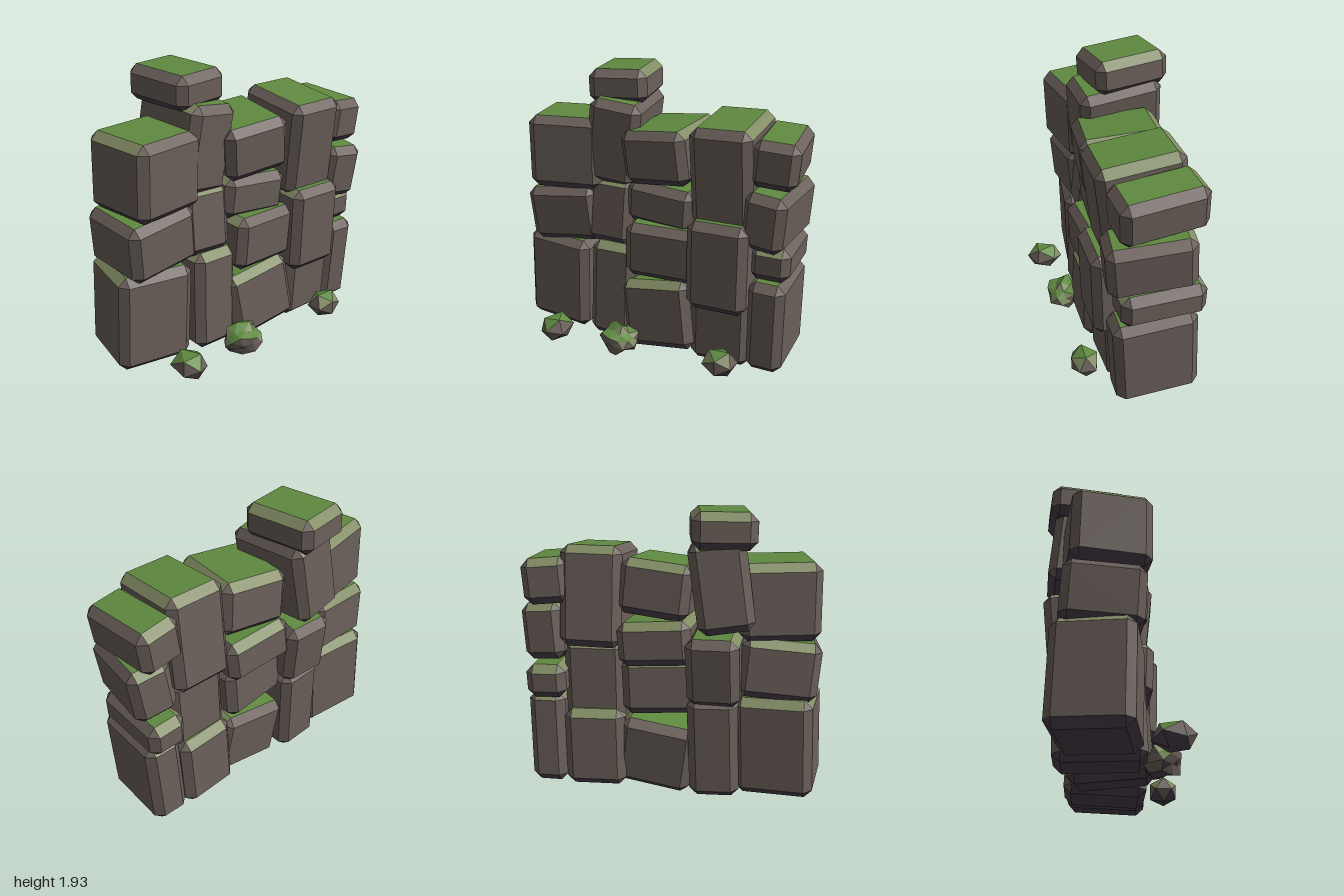
import * as THREE from 'three';
import { ConvexGeometry } from 'three/addons/geometries/ConvexGeometry.js';

const BEVEL = 0.052;

function material(name, color) {
  const m = new THREE.MeshStandardMaterial({ color });
  m.name = name;
  return m;
}

// Sorts triangles into underside, stone, mossy edge and moss by how far they face up
function mossGeometry(source, mossLimit, edgeLimit) {
  const p = source.getAttribute('position');
  const buckets = [[], [], [], []];
  const tri = new THREE.Triangle(), n = new THREE.Vector3();
  for (let i = 0; i < p.count; i += 3) {
    tri.setFromAttributeAndIndices(p, i, i + 1, i + 2);
    tri.getNormal(n);
    const k = n.y > mossLimit ? 3 : n.y > edgeLimit ? 2 : n.y > -0.54 ? 1 : 0;
    for (const v of [tri.a, tri.b, tri.c]) buckets[k].push(v.x, v.y, v.z);
  }
  const geo = new THREE.BufferGeometry();
  geo.setAttribute('position', new THREE.Float32BufferAttribute(buckets.flat(), 3));
  let start = 0;
  buckets.forEach((b, k) => {
    if (b.length) geo.addGroup(start, b.length / 3, k);
    start += b.length / 3;
  });
  geo.computeVertexNormals();
  return geo;
}

// Chamfered block, turned before its faces are sorted
function blockGeometry(w, h, d, tilt, yaw, roll) {
  const turn = new THREE.Euler(tilt, yaw, roll);
  const points = [];
  for (const sx of [-1, 1]) for (const sy of [-1, 1]) for (const sz of [-1, 1]) {
    for (let axis = 0; axis < 3; axis++) {
      const inset = [BEVEL, BEVEL, BEVEL];
      inset[axis] = 0;
      points.push(new THREE.Vector3(
        sx * (w / 2 - inset[0]), sy * (h / 2 - inset[1]), sz * (d / 2 - inset[2])).applyEuler(turn));
    }
  }
  return mossGeometry(new ConvexGeometry(points), 0.9, 0.7);
}

// Faceted pebble with radii pushed in and out by a rule
function pebbleGeometry(radii, detail, lump, turn, mossLimit, edgeLimit) {
  const geo = new THREE.IcosahedronGeometry(1, detail);
  const p = geo.getAttribute('position'), v = new THREE.Vector3();
  const euler = new THREE.Euler(...turn);
  for (let i = 0; i < p.count; i++) {
    v.fromBufferAttribute(p, i);
    v.multiplyScalar(1 + lump * Math.sin(v.x * 7 + v.y * 5 + v.z * 9)).applyEuler(euler);
    p.setXYZ(i, v.x * radii[0], v.y * radii[1], v.z * radii[2]);
  }
  return mossGeometry(geo, mossLimit, edgeLimit);
}

// The wall is five stacks; each stone is [centre y, height, centre z, tilt, yaw, roll]
const leftStack = [
  [0.4, 0.67, -0.09, 0.02, -0.12, -0.04],
  [0.92, 0.39, -0.07, 0.06, 0.1, 0.08],
  [1.36, 0.5, -0.04, 0.03, 0.19, -0.02],
];
const towerStack = [
  [0.395, 0.7, -0.09, -0.03, 0.03, -0.03],
  [0.945, 0.46, -0.14, -0.1, -0.05, -0.03],
  [1.46, 0.58, -0.13, 0.08, 0.1, -0.15],
];
const middleStack = [
  [0.29, 0.48, -0.03, -0.07, -0.05, 0.14],
  [0.765, 0.38, -0.03, 0.05, 0.08, -0.04],
  [1.07, 0.29, -0.1, 0.06, -0.05, -0.08],
  [1.41, 0.36, -0.05, 0.08, -0.1, 0.1],
];
const innerStack = [
  [0.31, 0.54, -0.06, 0.05, 0.04, -0.02],
  [0.745, 0.61, 0.02, 0.03, 0, -0.01],
  [1.335, 0.66, -0.03, 0.11, 0, 0.01],
];
const rightStack = [
  [0.36, 0.64, -0.055, 0.06, -0.02, -0.02],
  [0.785, 0.23, -0.085, 0, 0.02, -0.03],
  [1.09, 0.38, -0.01, 0.08, -0.12, -0.09],
  [1.445, 0.3, -0.055, 0.06, 0.08, -0.09],
];

export function createModel() {
  const model = new THREE.Group();
  model.name = 'stoneWall';
  const materials = [
    material('underside', 0x4b424d),
    material('stone', 0x6c615b),
    material('mossyEdge', 0x828c64),
    material('moss', 0x5f8a40),
  ];
  const add = (parent, name, geometry, x, y, z) => {
    const mesh = new THREE.Mesh(geometry, materials);
    mesh.name = name;
    mesh.position.set(x, y, z);
    parent.add(mesh);
  };

  // Stacks lean sideways and widen a little from stone to stone
  const addStack = (name, stones, x, width, depth, lean, widen) => {
    const stack = new THREE.Group();
    stack.name = name;
    stones.forEach(([y, height, z, tilt, yaw, roll], i) => add(
      stack, `${name}Stone${i + 1}`,
      blockGeometry(width + i * widen, height, depth, tilt, yaw, roll), x + i * lean, y, z));
    model.add(stack);
  };
  addStack('leftStack', leftStack, -0.715, 0.51, 0.5, 0.024, 0);
  addStack('towerStack', towerStack, -0.295, 0.33, 0.57, -0.013, 0.015);
  addStack('middleStack', middleStack, 0.085, 0.51, 0.55, -0.006, -0.012);
  addStack('innerStack', innerStack, 0.51, 0.41, 0.56, 0, 0);
  addStack('rightStack', rightStack, 0.825, 0.25, 0.55, -0.002, 0.018);

  // Wider cap stone on the tower
  add(model, 'towerCap', blockGeometry(0.4, 0.23, 0.51, 0.04, 0.17, 0.01), -0.325, 1.815, -0.18);

  // Pebbles along the foot of the front
  add(model, 'leftPebble',
    pebbleGeometry([0.115, 0.095, 0.135], 0, 0.08, [0.35, 0, 0.1], 0.5, 0.4), -0.645, 0.12, 0.35);
  add(model, 'middlePebble',
    pebbleGeometry([0.135, 0.1, 0.125], 1, 0.18, [0.3, 0.6, 0.3], 0.62, 0.35), -0.165, 0.12, 0.305);
  add(model, 'rightPebble',
    pebbleGeometry([0.125, 0.1, 0.105], 0, 0.06, [0, 0, 0], 0.9, 0.4), 0.575, 0.12, 0.34);
  return model;
}
